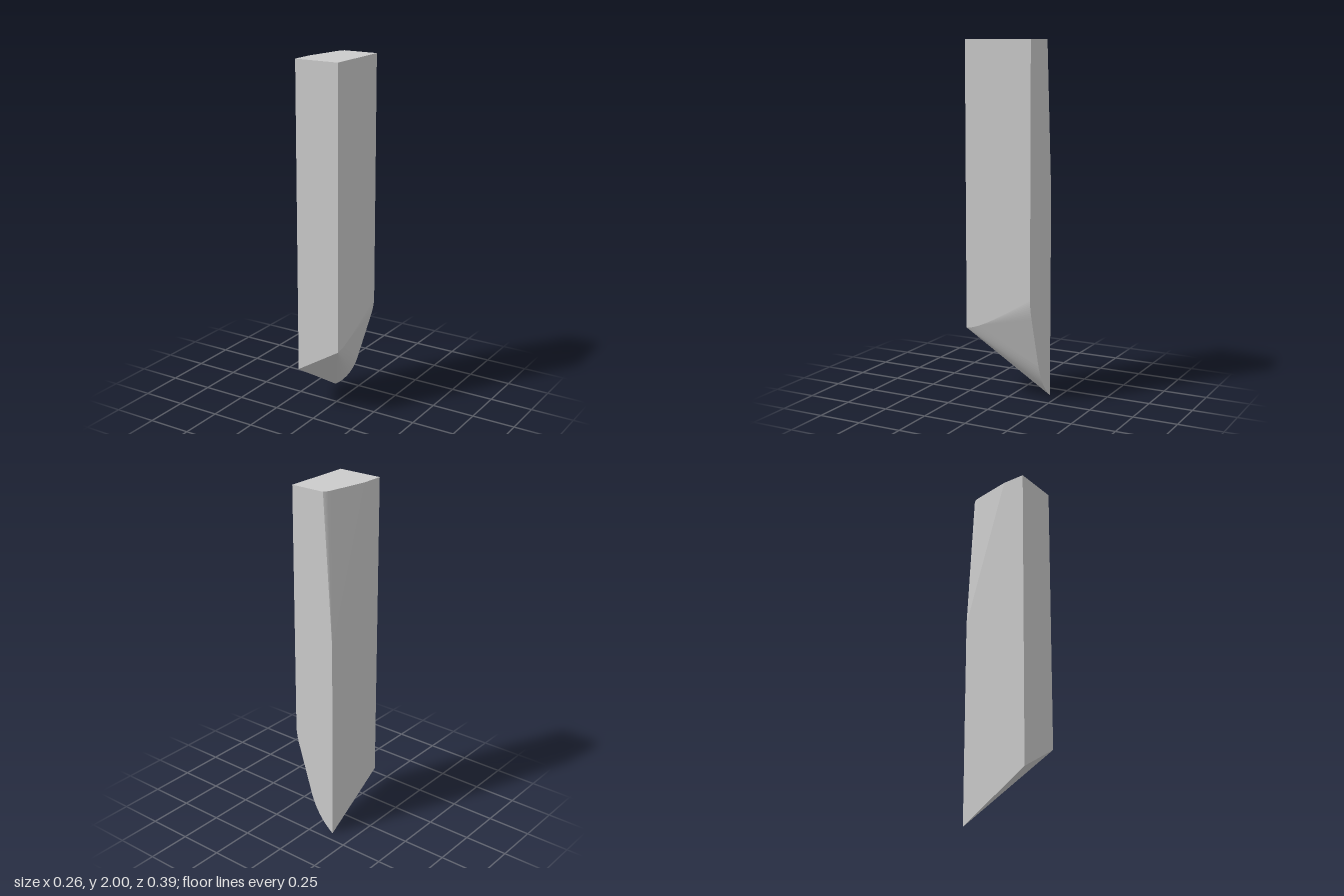
import * as THREE from 'three';
import { ConvexGeometry } from 'three/addons/geometries/ConvexGeometry.js';

// Points along a quadratic curve given by three [x, y, z] corners
function curve(a, b, c, steps) {
  return new THREE.QuadraticBezierCurve3(
    new THREE.Vector3(...a), new THREE.Vector3(...b), new THREE.Vector3(...c)
  ).getPoints(steps);
}

export function createModel() {
  const group = new THREE.Group();
  const W = 0.13, D = 0.197, H = 2;

  const points = [
    // front face: flat top, bottom rising towards +x
    [-W, 0.25, D], [W, 0.41, D], [W, H, D], [-W, H, D],
    // far back corner of the top
    [W, H, -D],
    // relief at the back corner: its lower tip and its front end on the top
    [-W, 1.165, -D], [-W, H, 0.065],
  ].map((p) => new THREE.Vector3(...p));

  points.push(
    // cutting edge along the bottom of the back face, from the tip upwards
    ...curve([-W, 0, -D], [-0.023, 0.075, -D], [0.02, 0.205, -D], 16),
    ...curve([0.11, 0.495, -D], [W, 0.56, -D], [W, 0.61, -D], 10),
    // lower border of the +x side
    ...curve([W, 0.41, D], [W, 0.41, 0.108], [W, 0.61, -D], 16),
    // rounded end of the relief on the top
    ...curve([-0.093, H, -0.145], [-0.087, H, -0.178], [-0.072, H, -D], 8)
  );

  // All surfaces are flat or outward-curved, so the solid is their hull
  const blade = new THREE.Mesh(
    new ConvexGeometry(points),
    new THREE.MeshStandardMaterial({ color: 0xcccccc })
  );
  blade.name = 'bevelledBlade';
  group.add(blade);
  return group;
}
